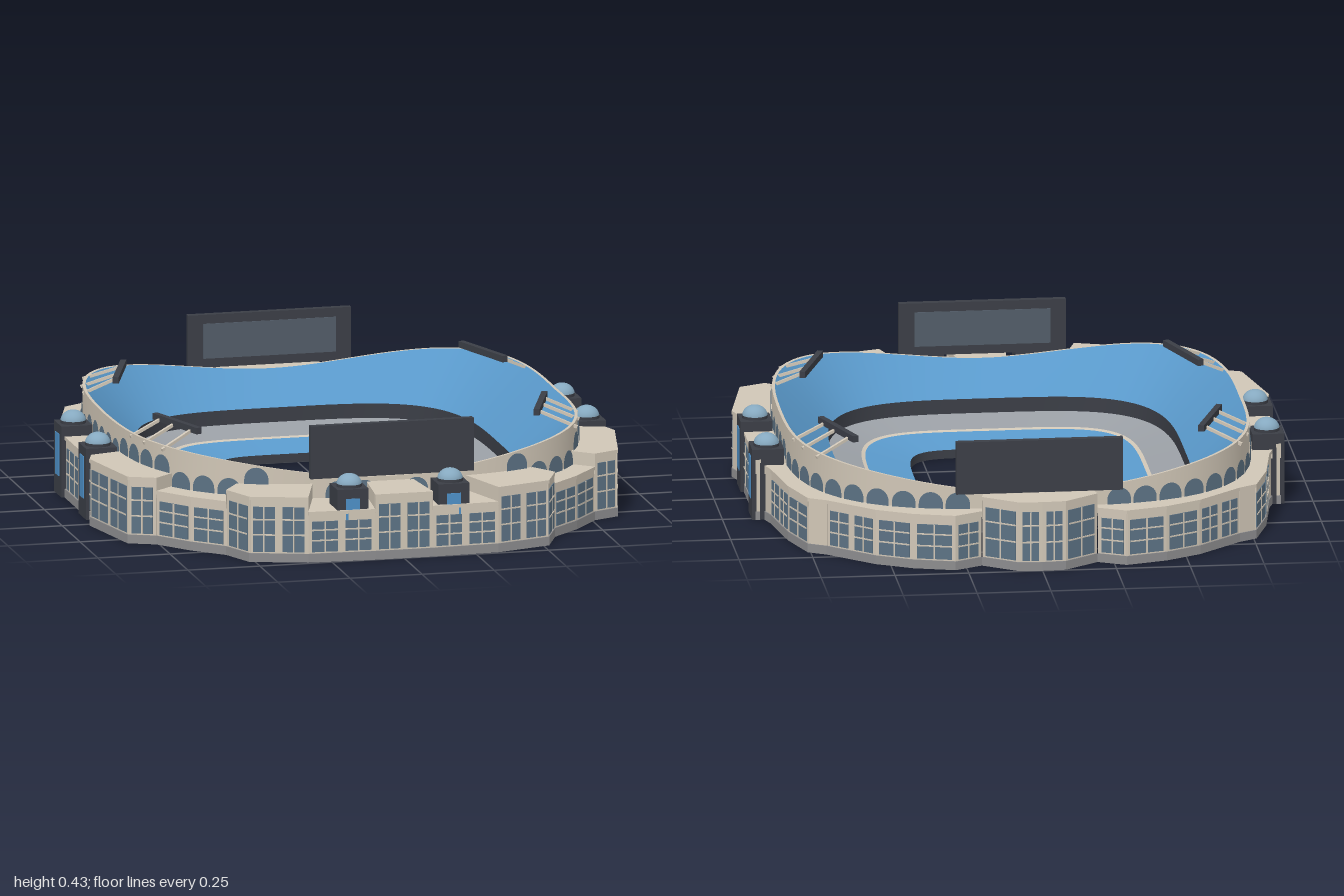
import * as THREE from 'three';

const mat = (color, side = THREE.FrontSide) => new THREE.MeshStandardMaterial({ color, side });
const D = THREE.DoubleSide;
const cream = mat(0xd0c6b6), creamD = mat(0xd0c6b6, D), glass = mat(0x5c7284, D), dark = mat(0x3b3e46), darkD = mat(0x3b3e46, D);
const seat = mat(0x5a9acc, D), grey = mat(0x9a9fa5, D), base = mat(0x8c8c8e), screen = mat(0x525c68), blue = mat(0x4d8fc6), domeMat = mat(0x86a9c0);

const CZ = -0.04; // centre of the bowl along z
const OUT = [0.785, 0.84, 3.1];

// Point on a rounded-square ring at polar angle t (0 = front, growing towards +x)
function ringPoint([a, b, n], t) {
  const s = Math.sin(t), c = Math.cos(t);
  const r = 1 / Math.pow(Math.pow(Math.abs(s) / a, n) + Math.pow(Math.abs(c) / b, n), 1 / n);
  return [r * s, CZ + r * c];
}
const angleOf = ([x, z]) => Math.atan2(x, z - CZ);
// The rim dips at the two scoreboard ends
const rimY = (x, z) => 0.24 + 0.08 * THREE.MathUtils.smoothstep(Math.abs(x), 0, 0.8)
  - 0.008 * Math.max(0, 1 - Math.abs(z - CZ) / 0.5) * (Math.abs(x) > 0.6 ? 1 : 0);

function add(parent, name, geo, material, x = 0, y = 0, z = 0) {
  const m = new THREE.Mesh(geo, material);
  m.name = name;
  m.position.set(x, y, z);
  parent.add(m);
  return m;
}
const box = (w, h, d) => new THREE.BoxGeometry(w, h, d);

function indexed(pos, idx) {
  const g = new THREE.BufferGeometry();
  g.setAttribute('position', new THREE.Float32BufferAttribute(pos, 3));
  g.setIndex(idx);
  g.computeVertexNormals();
  return g;
}

// Band between two rings; heights are numbers or functions of x, z
function band(r0, y0, r1, y1, N = 144) {
  const pos = [], idx = [];
  for (let i = 0; i < N; i++) {
    for (const [r, y] of [[r0, y0], [r1, y1]]) {
      const [x, z] = ringPoint(r, (i / N) * Math.PI * 2);
      pos.push(x, typeof y === 'function' ? y(x, z) : y, z);
    }
    const a = 2 * i, b = 2 * ((i + 1) % N);
    idx.push(a, b, a + 1, b, b + 1, a + 1);
  }
  return indexed(pos, idx);
}
const quad = (a, b, c, d) => indexed([...a, ...b, ...c, ...d], [0, 1, 2, 0, 2, 3]);

// Podium sections on the +x half, from front to back: roof height and outline points
const half = [
  [0.175, [[0.1, 1], [0.33, 0.99]]],
  [0.225, [[0.33, 0.99], [0.52, 0.93], [0.57, 0.81]]],
  [0.185, [[0.57, 0.81], [0.67, 0.715], [0.76, 0.6]]],
  [0.23, [[0.76, 0.6], [0.85, 0.56], [0.91, 0.27], [0.89, 0.21]]],
  [0.21, [[0.89, 0.21], [0.89, -0.27]]],
  [0.19, [[0.86, -0.27], [0.845, -0.315], [0.81, -0.53], [0.76, -0.685]]],
  [0.19, [[0.76, -0.685], [0.7, -0.72], [0.55, -0.855], [0.43, -0.92], [0.29, -0.96], [0.196, -0.913]]],
];
const mirrored = half.map(([h, p]) => [h, p.map(([x, z]) => [-x, z]).reverse()]).reverse();
const sections = [
  [0.225, [[-0.1, 1], [0.1, 1]]], ...half,
  [0.24, [[0.196, -0.913], [0.08, -0.995], [0, -1], [-0.08, -0.995], [-0.196, -0.913]]], ...mirrored,
];

// One straight stretch of facade with base, windows and cornice
function facade(parent, p, q, h) {
  const dx = q[0] - p[0], dz = q[1] - p[1], len = Math.hypot(dx, dz);
  const g = new THREE.Group();
  g.name = 'facade';
  g.position.set((p[0] + q[0]) / 2, 0, (p[1] + q[1]) / 2);
  g.rotation.y = Math.atan2(-dz, dx);
  parent.add(g);
  add(g, 'plinth', box(len, 0.03, 0.016), base, 0, 0.015, -0.008);
  add(g, 'wall', box(len, h - 0.03, 0.012), cream, 0, (h + 0.03) / 2, -0.01);
  add(g, 'cornice', box(len, 0.012, 0.018), cream, 0, h - 0.006, -0.009);
  if (len < 0.07) return;
  const n = Math.max(1, Math.round(len / 0.13)), w = len / n, top = h - 0.035, gh = top - 0.035;
  for (let i = 0; i < n; i++) {
    const x = (i + 0.5) * w - len / 2, gw = w - 0.026;
    add(g, 'window', box(gw, gh, 0.004), glass, x, 0.035 + gh / 2, -0.003);
    add(g, 'mullion', box(0.005, gh, 0.004), cream, x, 0.035 + gh / 2, -0.001);
    for (const f of [0.38, 0.72]) add(g, 'transom', box(gw, 0.005, 0.004), cream, x, 0.035 + gh * f, -0.001);
  }
}

function podium() {
  const g = new THREE.Group();
  g.name = 'podium';
  for (const [h, pts] of sections) {
    const inner = pts.map((p) => ringPoint(OUT, angleOf(p)));
    for (let i = 0; i + 1 < pts.length; i++) {
      facade(g, pts[i], pts[i + 1], h);
      const at = ([x, z]) => [x, h, z];
      add(g, 'podiumRoof', quad(at(pts[i]), at(pts[i + 1]), at(inner[i + 1]), at(inner[i])), creamD);
    }
    // Step walls at both ends of the section
    for (const i of [0, pts.length - 1]) {
      const [a, b] = [pts[i], inner[i]];
      add(g, 'stepWall', quad([a[0], 0.16, a[1]], [b[0], 0.16, b[1]], [b[0], h, b[1]], [a[0], h, a[1]]), creamD);
    }
  }
  return g;
}

// Roof height of the podium at a polar angle
function roofAt(t) {
  for (const [h, pts] of sections) {
    const a = angleOf(pts[0]);
    const wrap = (v) => Math.atan2(Math.sin(v), Math.cos(v));
    const span = wrap(angleOf(pts[pts.length - 1]) - a), d = wrap(t - a);
    if (d >= 0 && d <= span) return h;
  }
  return 0.2;
}

function arches() {
  const g = new THREE.Group();
  g.name = 'archedWindows';
  const s = new THREE.Shape();
  s.moveTo(-0.041, -0.02);
  s.lineTo(0.041, -0.02);
  s.absarc(0, 0, 0.041, 0, Math.PI, false);
  const geo = new THREE.ShapeGeometry(s, 10);
  // Walk the ring and drop an arch at equal distances
  let dist = 0, last = ringPoint(OUT, 0);
  for (let i = 1; i <= 2000; i++) {
    const t = (i / 2000) * Math.PI * 2, p = ringPoint(OUT, t);
    const dx = p[0] - last[0], dz = p[1] - last[1];
    dist += Math.hypot(dx, dz);
    last = p;
    if (dist < 0.09) continue;
    dist = 0;
    const y = roofAt(t) + 0.016;
    if (y + 0.043 > rimY(...p)) continue;
    const ry = Math.atan2(-dz, dx);
    const m = add(g, 'archWindow', geo, glass, p[0] + Math.sin(ry) * 0.005, y, p[1] + Math.cos(ry) * 0.005);
    m.rotation.y = ry;
  }
  return g;
}

// Square stair tower with a tall window and a dome
function tower(x, z, turn) {
  const g = new THREE.Group();
  g.name = 'tower';
  g.position.set(x, 0, z);
  g.rotation.y = turn;
  add(g, 'towerShaft', box(0.108, 0.245, 0.108), dark, 0, 0.1225, 0);
  add(g, 'towerWindow', box(0.048, 0.145, 0.006), blue, 0, 0.14, 0.054);
  add(g, 'domeDrum', new THREE.CylinderGeometry(0.043, 0.043, 0.012, 24), dark, 0, 0.249, 0);
  add(g, 'dome', new THREE.SphereGeometry(0.043, 24, 10, 0, Math.PI * 2, 0, Math.PI / 2), domeMat, 0, 0.252, 0).scale.y = 0.85;
  return g;
}

// Floodlight bar on three struts; sx and sz choose the corner
function floodlight(sx, sz) {
  const g = new THREE.Group();
  g.name = 'floodlight';
  const P = (x, y, z) => new THREE.Vector3(sx * x, y, CZ + sz * z);
  const beam = (name, a, b, w, h, m) => {
    const b0 = add(g, name, box(w, h, a.distanceTo(b)), m);
    b0.position.copy(a).add(b).multiplyScalar(0.5);
    b0.lookAt(b);
  };
  beam('lightBar', P(0.675, 0.358, 0.275), P(0.585, 0.358, 0.53), 0.02, 0.022, dark);
  for (const [x0, z0, x1, z1] of [[0.72, 0.555, 0.6, 0.49], [0.755, 0.44, 0.635, 0.39], [0.775, 0.335, 0.667, 0.315]])
    beam('lightStrut', P(x0, 0.305, z0), P(x1, 0.354, z1), 0.01, 0.01, cream);
  return g;
}

export function createModel() {
  const model = new THREE.Group();
  model.name = 'stadium';

  // Seating bowl, from the pitch outwards
  const pitch = [0.312, 0.452, 5.5], rail = [0.462, 0.592, 4.6], mid = [0.475, 0.605, 4.5], upper = [0.59, 0.717, 3.7], rim = [0.775, 0.83, 3.1];
  const bowl = new THREE.Group();
  bowl.name = 'bowl';
  add(bowl, 'pitchWall', band(pitch, 0, pitch, 0.03), darkD);
  add(bowl, 'lowerSeats', band(pitch, 0.03, rail, 0.052), seat);
  add(bowl, 'rail', band(rail, 0.052, mid, 0.056), creamD);
  add(bowl, 'middleTier', band(mid, 0.056, upper, 0.08), grey);
  add(bowl, 'tierWall', band(upper, 0.08, upper, 0.13), darkD);
  add(bowl, 'upperSeats', band(upper, 0.13, rim, rimY), seat);
  add(bowl, 'rimCap', band(rim, rimY, OUT, rimY), creamD);
  add(bowl, 'outerWall', band(OUT, rimY, OUT, 0.16), creamD);
  model.add(bowl, podium(), arches());

  for (const s of [1, -1]) {
    model.add(tower(s * 0.175, 0.935, 0));
    for (const z of [0.13, -0.215]) model.add(tower(s * 0.847, z, s * Math.PI / 2));
    for (const sz of [1, -1]) model.add(floodlight(s, sz));
  }

  // Scoreboards, with the screen on the inner face
  for (const [z, s] of [[0.82, -1], [-0.9, 1]]) {
    add(model, 'scoreboard', box(0.565, 0.182, 0.024), dark, 0, 0.341, z);
    add(model, 'scoreboardScreen', box(0.46, 0.12, 0.004), screen, 0, 0.341, z + s * 0.013);
  }
  return model;
}
